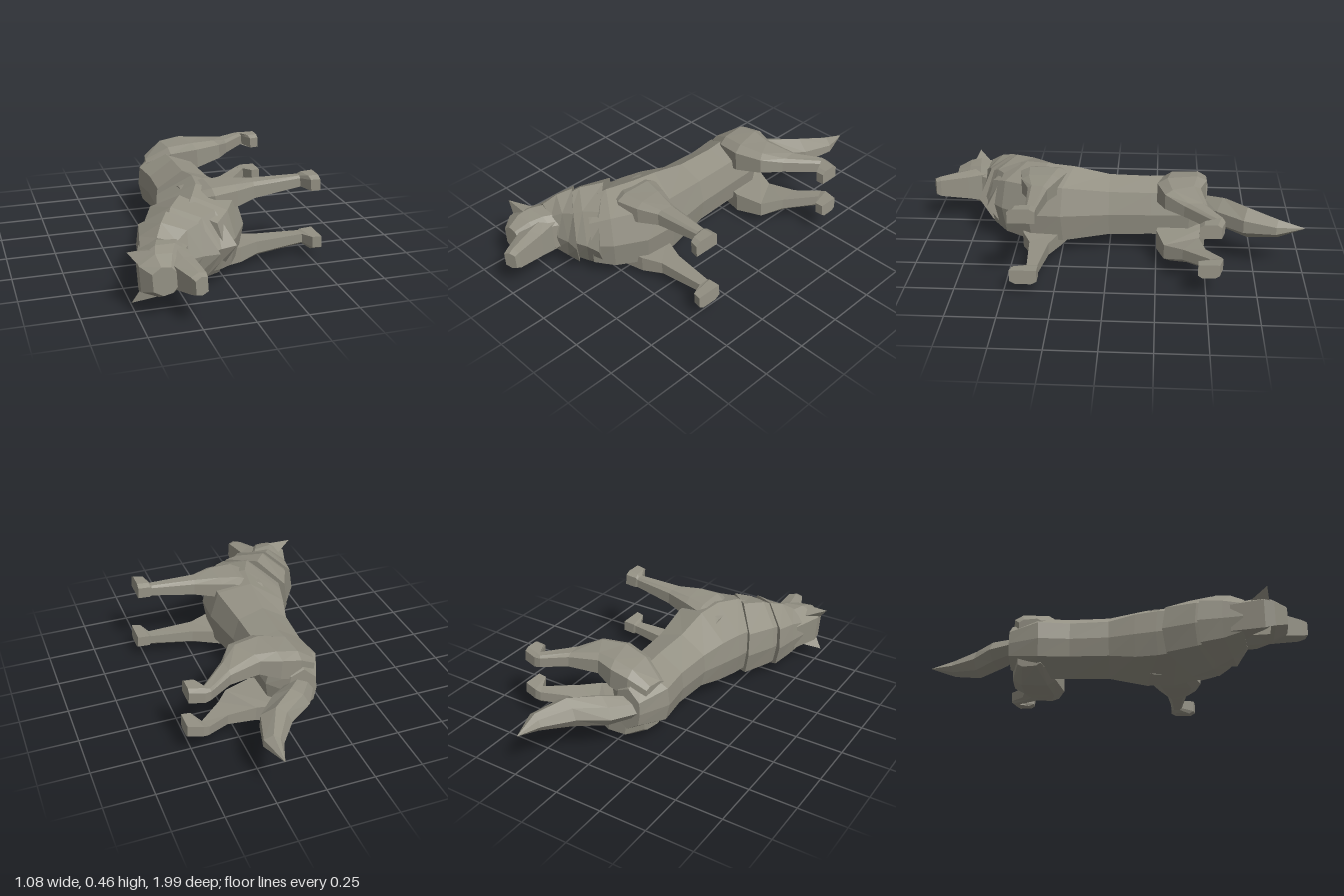
import * as THREE from 'three';
import { ConvexGeometry } from 'three/addons/geometries/ConvexGeometry.js';

// Cross-section outlines: [t from first edge point to second, s across the width]
const mirrored = (half) => [...half, ...half.filter(([, s]) => s).reverse().map(([t, s]) => [t, -s])];
const TRUNK = [[0, 0], [0.05, 0.55], [0.5, 1], [0.92, 0.7], [1, 0], [0.92, -0.7], [0.5, -1], [0.05, -0.55]];
const RUFF = [[0, 0], [0.05, 0.58], [0.4, 1], [0.78, 0.78], [1, 0], [0.78, -0.78], [0.4, -1], [0.05, -0.58]];
const HEAD = mirrored([[0, 0.6], [0.4, 1], [0.8, 0.9], [1, 0.55]]);
const MUZZLE = mirrored([[0, 0.75], [0.5, 1], [1, 0.8]]);
const TAIL = [[0, 0], [0.2, 0.65], [0.55, 1], [1, 0.4], [1, -0.4], [0.55, -1], [0.2, -0.65]];
const LEG = [[0, -1], [0, 0.6], [0.2, 1], [0.8, 1], [1, 0.6], [1, -1]];

// Closed loft through sections [x0, z0, x1, z1, yLow, yHigh]
function loft(sections, outline) {
  const n = outline.length, rings = sections.map(([x0, z0, x1, z1, lo, hi]) =>
    outline.map(([t, s]) => new THREE.Vector3(
      x0 + (x1 - x0) * t, (lo + hi) / 2 + s * (hi - lo) / 2, z0 + (z1 - z0) * t)));
  const tris = [];
  for (let i = 0; i < rings.length - 1; i++) {
    for (let j = 0; j < n; j++) {
      const k = (j + 1) % n, a = rings[i], b = rings[i + 1];
      tris.push([a[j], a[k], b[k]], [a[j], b[k], b[j]]);
    }
  }
  // end caps
  const first = rings[0], last = rings[rings.length - 1];
  for (let j = 1; j < n - 1; j++) {
    tris.push([first[0], first[j + 1], first[j]], [last[0], last[j], last[j + 1]]);
  }
  // keep faces pointing outward
  const centre = first[0];
  let volume = 0;
  for (const [a, b, c] of tris) {
    volume += a.clone().sub(centre).dot(b.clone().sub(centre).cross(c.clone().sub(centre)));
  }
  const pos = [];
  for (const [a, b, c] of tris) {
    for (const p of volume < 0 ? [a, c, b] : [a, b, c]) pos.push(p.x, p.y, p.z);
  }
  const g = new THREE.BufferGeometry();
  g.setAttribute('position', new THREE.Float32BufferAttribute(pos, 3));
  g.computeVertexNormals();
  return g;
}

// Sections symmetric about the animal's middle plane
const even = (list) => list.map(([a, b, c, d, w]) => [a, b, c, d, -w, w]);

export function createModel() {
  const fur = new THREE.MeshStandardMaterial({ color: 0x949184, flatShading: true });
  fur.name = 'greyFur';
  const root = new THREE.Group();
  root.name = 'wolf';

  // The animal lies on its side: back toward -x, legs toward +x, leaning slightly
  const animal = new THREE.Group();
  animal.name = 'lyingAnimal';
  animal.rotation.z = 0.07;
  animal.position.y = 0.225;
  root.add(animal);

  const add = (name, geometry) => {
    const m = new THREE.Mesh(geometry, fur);
    m.name = name;
    animal.add(m);
  };

  // Trunk from rump to chest
  add('body', loft(even([
    [-0.15, -0.52, 0.0, -0.51, 0.12],
    [-0.22, -0.36, 0.08, -0.42, 0.17],
    [-0.2, -0.2, 0.09, -0.22, 0.165],
    [-0.21, 0.0, 0.1, 0.0, 0.17],
    [-0.25, 0.13, 0.14, 0.25, 0.21],
    [-0.28, 0.24, 0.13, 0.42, 0.217],
    [-0.3, 0.33, 0.04, 0.57, 0.205],
    [-0.33, 0.42, -0.04, 0.645, 0.17],
  ]), TRUNK));

  // Overlapping neck ruffs, slightly flared at the rear edge
  add('rearRuff', loft(even([
    [-0.32, 0.27, 0.02, 0.65, 0.208],
    [-0.385, 0.43, -0.06, 0.66, 0.197],
    [-0.41, 0.54, -0.12, 0.68, 0.165],
  ]), RUFF));
  add('frontRuff', loft(even([
    [-0.42, 0.44, -0.08, 0.71, 0.19],
    [-0.44, 0.56, -0.16, 0.7, 0.168],
    [-0.46, 0.66, -0.23, 0.71, 0.125],
  ]), RUFF));

  // Head and muzzle
  add('head', loft(even([
    [-0.44, 0.6, -0.22, 0.67, 0.115],
    [-0.49, 0.76, -0.25, 0.73, 0.122],
    [-0.488, 0.81, -0.29, 0.8, 0.106],
    [-0.445, 0.875, -0.335, 0.875, 0.07],
  ]), HEAD));
  add('muzzle', loft(even([
    [-0.36, 0.76, -0.25, 0.7, 0.098],
    [-0.34, 0.86, -0.237, 0.8, 0.078],
    [-0.295, 0.968, -0.22, 0.95, 0.056],
    [-0.283, 0.996, -0.222, 0.975, 0.044],
  ]), MUZZLE));

  // Tail
  add('tail', loft(even([
    [-0.15, -0.49, 0.0, -0.48, 0.06],
    [-0.065, -0.635, 0.1, -0.56, 0.082],
    [0.07, -0.74, 0.215, -0.69, 0.082],
    [0.17, -0.88, 0.26, -0.85, 0.048],
    [0.213, -0.998, 0.216, -0.996, 0.002],
  ]), TAIL));

  // Legs from hip or shoulder to paw, as [.., inner, outer]
  const frontLeg = [
    [-0.14, 0.4, -0.14, 0.19, 0.1, 0.18],
    [-0.02, 0.47, -0.02, 0.22, 0.1, 0.214],
    [0.1, 0.45, 0.08, 0.255, 0.11, 0.21],
    [0.2, 0.405, 0.22, 0.305, 0.118, 0.197],
    [0.45, 0.387, 0.45, 0.333, 0.13, 0.185],
    [0.48, 0.455, 0.46, 0.33, 0.125, 0.198],
    [0.525, 0.465, 0.525, 0.33, 0.125, 0.198],
  ];
  const hindLeg = [
    [-0.17, -0.35, -0.15, -0.47, 0.06, 0.13],
    [-0.04, -0.28, -0.06, -0.505, 0.06, 0.196],
    [0.1, -0.25, 0.04, -0.505, 0.08, 0.208],
    [0.24, -0.29, 0.14, -0.47, 0.1, 0.195],
    [0.31, -0.385, 0.3, -0.5, 0.09, 0.16],
    [0.45, -0.53, 0.42, -0.575, 0.078, 0.14],
    [0.48, -0.457, 0.45, -0.58, 0.07, 0.14],
    [0.525, -0.455, 0.525, -0.56, 0.07, 0.14],
  ];

  // Paired legs and ears
  for (const side of [1, -1]) {
    const label = side > 0 ? 'Upper' : 'Lower';
    const place = (list) => list.map(([a, b, c, d, inner, outer]) => [a, b, c, d, inner * side, outer * side]);
    add('frontLeg' + label, loft(place(frontLeg), LEG));
    add('hindLeg' + label, loft(place(hindLeg), LEG));
    add('ear' + label, new ConvexGeometry([
      [-0.475, 0.045, 0.79], [-0.4, 0.115, 0.78], [-0.42, 0.085, 0.69], [-0.53, 0.125, 0.775],
    ].map(([x, y, z]) => new THREE.Vector3(x, y * side, z))));
  }
  return root;
}
